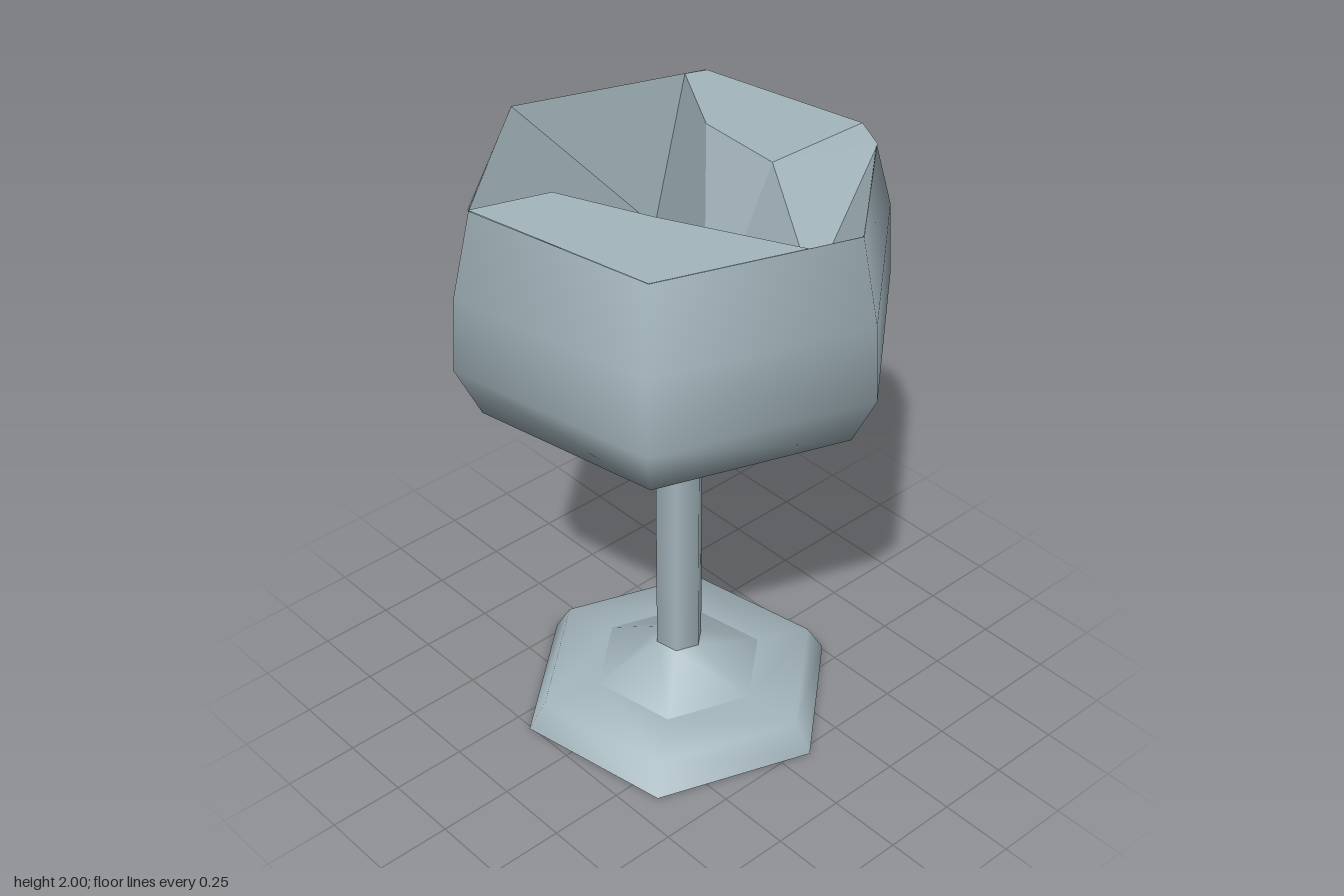
import * as THREE from 'three';

const START = THREE.MathUtils.degToRad(40.5);

export function createModel() {
  const group = new THREE.Group();
  const glass = new THREE.MeshStandardMaterial({ color: 0xa4b6bd, side: THREE.DoubleSide });
  glass.name = 'blue grey';

  const add = (name, geometry) => {
    const mesh = new THREE.Mesh(geometry, glass);
    mesh.name = name;
    group.add(mesh);
    return geometry;
  };
  // Six-sided smooth turning from [radius, height] pairs
  const turn = (name, profile) => add(name, new THREE.LatheGeometry(
    profile.map(([r, y]) => new THREE.Vector2(r, y)), 6, START));

  turn('footBottom', [[0, 0], [0.54, 0]]);
  turn('footSide', [[0.54, 0], [0.48, 0.1], [0.29, 0.115]]);
  turn('footTop', [[0.29, 0.115], [0.08, 0.23]]);
  turn('stem', [[0.08, 0.23], [0.08, 0.93]]);
  const bowl = turn('bowl', [[0.08, 0.93], [0.178, 1.16], [0.635, 1.31],
    [0.715, 1.48], [0.7, 1.73], [0.64, 2]]);

  // Rim dips slightly at the rear corner
  const pos = bowl.attributes.position;
  for (let i = 0; i < pos.count; i++) {
    if (pos.getY(i) > 1.99 && pos.getZ(i) < -0.57) pos.setY(i, 1.95);
  }

  // Corners of the faceted hollow: rim, shelf edges and valley floor
  const p = {
    F: [-0.41, 2, -0.49], T: [0.16, 2, -0.595], A: [0.22, 1.95, -0.602],
    B: [0.628, 2, -0.117], C: [0.415, 2, 0.486], D: [-0.22, 2, 0.602],
    E: [-0.628, 2, 0.117], G: [-0.437, 2, -0.42], H: [-0.15, 2, -0.245],
    I: [0.155, 2, -0.225], J: [-0.47, 1.48, -0.32], K: [0.09, 1.43, -0.02],
    M: [0.52, 1.82, -0.035], N: [-0.17, 1.8, 0.42], P: [-0.14, 2, 0.36],
    Q: [0.155, 2, 0.24], R: [0.573, 2, 0.04], S: [0.36, 1.62, 0.01],
  };
  // Each three-letter word is one facet, wound to face up
  const facets = (name, words) => {
    const out = [];
    for (const w of words.split(' ')) {
      const [a, b, c] = [...w].map((k) => p[k]);
      const up = (b[2] - a[2]) * (c[0] - a[0]) - (b[0] - a[0]) * (c[2] - a[2]);
      out.push(...a, ...(up < 0 ? c : b), ...(up < 0 ? b : c));
    }
    const g = new THREE.BufferGeometry();
    g.setAttribute('position', new THREE.Float32BufferAttribute(out, 3));
    g.computeVertexNormals();
    add(name, g);
  };
  facets('rearShelf', 'FTI FIH FHG');
  facets('rearRimCorner', 'FTA');
  facets('rearSlope', 'GHJ HKJ HIK IMK');
  facets('leftSlope', 'TAI AMI ABM');
  facets('frontShelf', 'DCQ DQP CRQ DPN');
  facets('frontSlope', 'PJK PKQ PNJ QKS');
  facets('leftFloor', 'KMS MBS BRS RQS');
  facets('rightWall', 'EJN END EGJ');

  return group;
}
